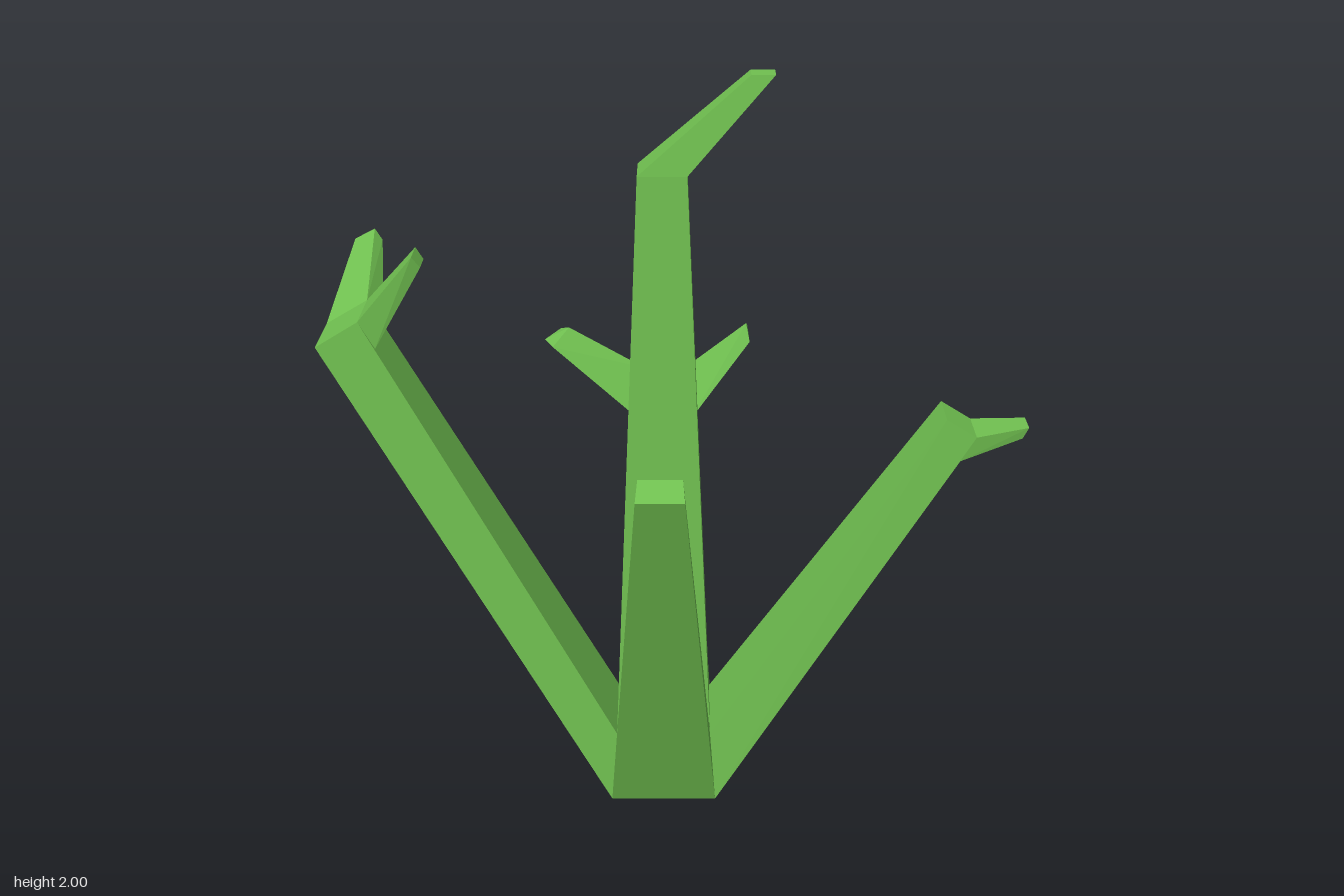
import * as THREE from 'three';
import { ConvexGeometry } from 'three/addons/geometries/ConvexGeometry.js';

// Two-edge cross-sections: each edge is [offset, height, from, to].
// alongX: offset is x and the edge spans z; alongZ: offset is z and it spans x.
const alongX = (...edges) => edges.flatMap(([x, y, a, b]) => [[x, y, a], [x, y, b]]);
const alongZ = (...edges) => edges.flatMap(([z, y, a, b]) => [[a, y, z], [b, y, z]]);

export function createModel() {
  const group = new THREE.Group();
  const green = new THREE.MeshStandardMaterial({ color: 0x70c050, flatShading: true });

  // Tapered segment joining two four-cornered sections
  const segment = (name, start, end) => {
    const points = [...start, ...end].map((p) => new THREE.Vector3(...p));
    const mesh = new THREE.Mesh(new ConvexGeometry(points), green);
    mesh.name = name;
    group.add(mesh);
  };

  // Root block and trunk with its bent tip
  const foot = alongX([-0.18, 0, -0.025, 0.265], [0.105, 0, -0.025, 0.265]);
  const collar = alongX([-0.165, 0.2, -0.01, 0.25], [0.09, 0.2, -0.01, 0.25]);
  const trunkTop = alongX([-0.1, 1.755, 0.06, 0.185], [0.025, 1.755, 0.06, 0.185]);
  segment('root', foot, collar);
  segment('trunk', collar, trunkTop);
  segment('trunkTip', trunkTop, alongX([0.18, 2, 0.09, 0.15], [0.24, 2, 0.09, 0.15]));

  // Right-hand branch (-x) with an inner and a back twig
  segment('rightBranch',
    alongX([-0.18, 0, -0.025, 0.265], [-0.165, 0.2, -0.01, 0.25]),
    alongX([-0.92, 1.315, 0.03, 0.21], [-0.81, 1.38, 0.03, 0.2], [-0.77, 1.305, 0.035, 0.195]));
  segment('rightInnerTwig',
    alongX([-0.81, 1.38, 0.03, 0.2], [-0.77, 1.305, 0.035, 0.195]),
    alongX([-0.665, 1.55, 0.11, 0.195], [-0.645, 1.52, 0.115, 0.185]));
  segment('rightBackTwig',
    [[-0.92, 1.315, 0.03], [-0.81, 1.38, 0.03], [-0.77, 1.305, 0.035], [-0.875, 1.24, 0.03]],
    [[-0.87, 1.475, -0.2], [-0.815, 1.505, -0.195], [-0.795, 1.475, -0.19], [-0.85, 1.445, -0.195]]);

  // Left-hand branch (+x) with an outer twig
  segment('leftBranch',
    alongX([0.105, 0, -0.025, 0.265], [0.09, 0.2, -0.01, 0.25]),
    alongX([0.7, 1.105, 0.05, 0.18], [0.78, 1.055, 0.05, 0.18], [0.74, 0.99, 0.045, 0.185]));
  segment('leftTwig',
    alongX([0.78, 1.055, 0.05, 0.18], [0.74, 0.99, 0.045, 0.185]),
    alongX([0.92, 1.07, 0.08, 0.15], [0.905, 1.04, 0.08, 0.15]));

  // Front branch, cut off plain
  segment('frontBranch',
    alongZ([0.265, 0, -0.18, 0.105], [0.25, 0.2, -0.165, 0.09]),
    alongZ([0.66, 1.09, -0.1, 0.02], [0.59, 1.12, -0.095, 0.015]));

  // Back branch, crowned by four twigs
  const capIn = [-0.385, 1.03, -0.095, 0.02];
  const capOut = [-0.46, 0.97, -0.095, 0.02];
  const under = [-0.41, 0.87, -0.11, 0.035];
  const crook = [-0.32, 0.9, -0.115, 0.04];
  segment('backBranch',
    alongZ([-0.025, 0, -0.18, 0.105], [-0.01, 0.2, -0.165, 0.09]),
    alongZ(capIn, capOut, under, crook));
  segment('backOuterTwig', alongZ(capOut, under),
    alongZ([-0.64, 1.075, -0.07, -0.01], [-0.66, 1.04, -0.07, -0.01]));
  segment('backInnerTwig', alongZ(capIn, crook),
    alongZ([-0.25, 1.2, -0.075, -0.02], [-0.23, 1.175, -0.065, -0.03]));
  segment('backRightTwig',
    [[-0.095, 1.03, -0.385], [-0.095, 0.97, -0.46], [-0.11, 0.87, -0.41], [-0.115, 0.9, -0.32]],
    [[-0.31, 1.155, -0.38], [-0.335, 1.14, -0.415], [-0.38, 1.115, -0.39], [-0.355, 1.11, -0.34]]);
  segment('backLeftTwig',
    [[0.02, 1.03, -0.385], [0.02, 0.97, -0.46], [0.035, 0.87, -0.41], [0.04, 0.9, -0.32]],
    [[0.195, 1.165, -0.39], [0.2, 1.145, -0.425], [0.205, 1.105, -0.415], [0.205, 1.115, -0.37]]);

  return group;
}
